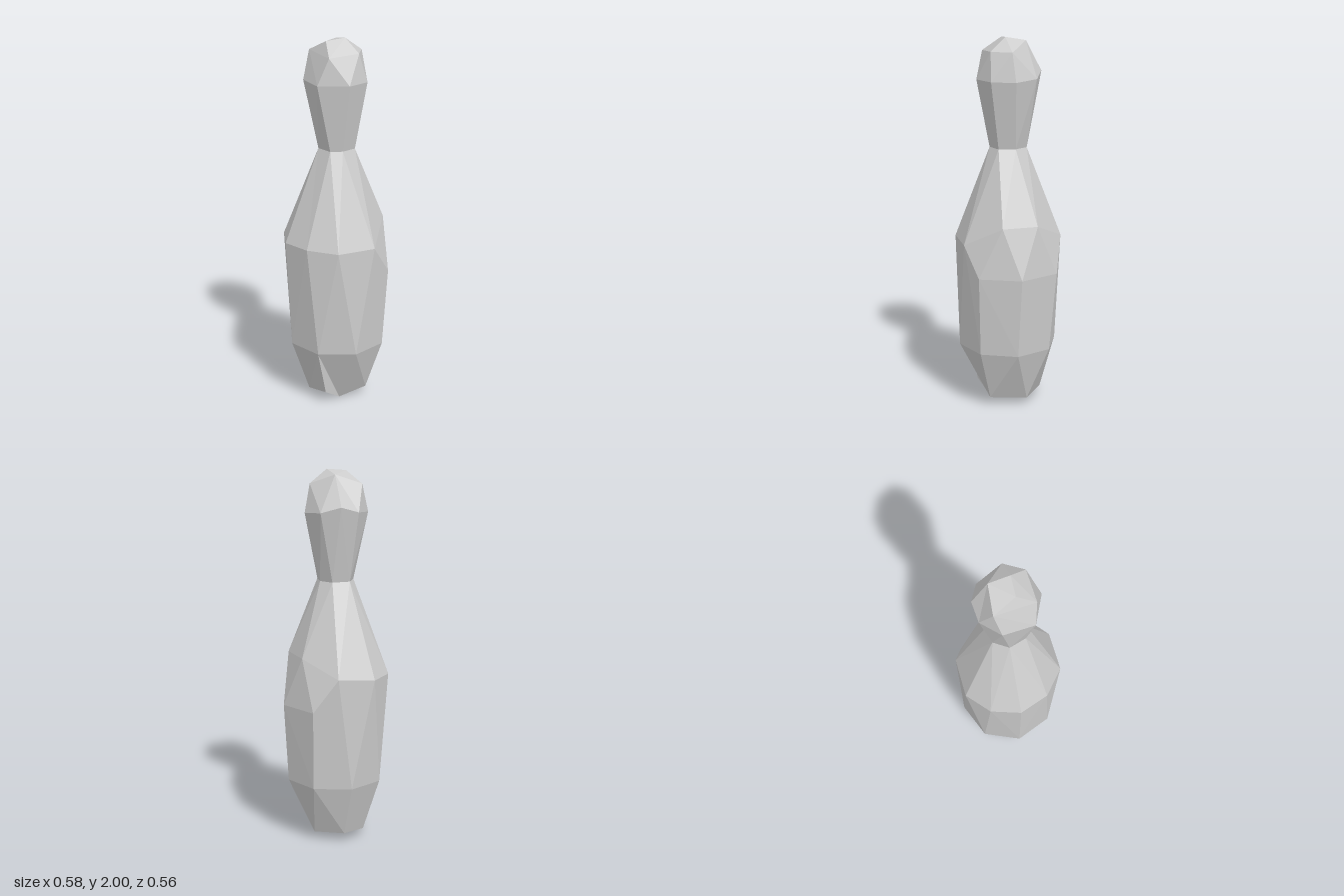
import * as THREE from 'three';

const pin = new THREE.MeshStandardMaterial({ color: 0xcccccc, flatShading: true });
pin.name = 'pinGrey';

const TAU = Math.PI * 2;
const angle = p => Math.atan2(p[2], p[0]);

// Rotates a ring to start nearest a given angle, then lists its angles rising through one full turn
function unwrap(ring, start) {
  const off = p => Math.atan2(Math.sin(angle(p) - start), Math.cos(angle(p) - start));
  let s = 0;
  ring.forEach((p, i) => { if (Math.abs(off(p)) < Math.abs(off(ring[s]))) s = i; });
  const pts = ring.map((_, i) => ring[(s + i) % ring.length]);
  const angs = [start + off(pts[0])];
  for (let i = 1; i < pts.length; i++) {
    let a = angle(pts[i]);
    while (a < angs[i - 1] - 1e-9) a += TAU;
    angs.push(a);
  }
  pts.push(pts[0]);
  angs.push(angs[0] + TAU);
  return { pts, angs };
}

// Stitches two rings with any number of corners; corners they share close the gap
function stitch(out, lower, upper) {
  const a = unwrap(lower, angle(upper[0])), b = unwrap(upper, angle(upper[0]));
  const same = (p, q) => p.every((v, i) => v === q[i]);
  const tri = (p, q, r) => { if (!same(p, q) && !same(q, r) && !same(p, r)) out.push(...p, ...q, ...r); };
  let i = 0, j = 0;
  while (i < lower.length || j < upper.length) {
    const ma = i < lower.length ? a.angs[i] + a.angs[i + 1] : Infinity;
    const mb = j < upper.length ? b.angs[j] + b.angs[j + 1] : Infinity;
    if (ma <= mb + 1e-9) { tri(a.pts[i], b.pts[j], a.pts[i + 1]); i++; }
    else { tri(a.pts[i], b.pts[j], b.pts[j + 1]); j++; }
  }
}

function cap(out, ring, up) {
  for (let k = 1; k < ring.length - 1; k++) {
    const [p, q] = up ? [ring[k + 1], ring[k]] : [ring[k], ring[k + 1]];
    out.push(...ring[0], ...p, ...q);
  }
}

function part(name, rings, capBottom, capTop) {
  const out = [];
  for (let k = 0; k < rings.length - 1; k++) stitch(out, rings[k], rings[k + 1]);
  if (capBottom) cap(out, rings[0], false);
  if (capTop) cap(out, rings[rings.length - 1], true);
  const geo = new THREE.BufferGeometry();
  geo.setAttribute('position', new THREE.Float32BufferAttribute(out, 3));
  geo.computeVertexNormals();
  const mesh = new THREE.Mesh(geo, pin);
  mesh.name = name;
  return mesh;
}

export function createModel() {
  // Uneven foot, starting at its lowest corner
  const foot = [[-0.01, 0, 0.1], [-0.1, 0.07, 0.165], [-0.165, 0.04, 0.03], [-0.14, 0.04, -0.1],
    [-0.02, 0.05, -0.18], [0.13, 0.04, -0.1], [0.14, 0.05, 0.1]];
  // Regular octagon above the foot
  const hip = [];
  for (let i = 0; i < 8; i++) {
    const t = (-10 + 45 * i) * Math.PI / 180;
    hip.push([0.266 * Math.cos(t), 0.33, 0.266 * Math.sin(t)]);
  }
  // Widest ring, shared round most of the body and split in height on the left side
  const girth = [[0.15, 0.92, 0.236], [-0.055, 0.92, 0.28], [-0.205, 0.925, 0.195], [-0.29, 0.92, 0.048],
    [-0.27, 0.92, -0.115], [-0.17, 0.92, -0.243], [0.03, 0.94, -0.284]];
  const bellyLow = [...girth, [0.16, 0.76, -0.255], [0.288, 0.76, -0.065], [0.245, 0.76, 0.16]];
  const bellyHigh = [...girth, [0.2, 1.03, -0.15], [0.245, 1.03, 0.035]];
  // Narrow neck
  const neck = [[0.085, 1.42, 0.05], [0.01, 1.42, 0.095], [-0.055, 1.42, 0.085], [-0.1, 1.42, 0],
    [-0.065, 1.42, -0.085], [0.03, 1.42, -0.1], [0.085, 1.42, -0.04]];
  // Faceted head
  const headWide = [[0.14, 1.78, 0.09], [0.03, 1.78, 0.163], [-0.13, 1.78, 0.122], [-0.17, 1.78, -0.04],
    [-0.1, 1.79, -0.148], [-0.003, 1.82, -0.177], [0.1, 1.79, -0.148], [0.165, 1.78, -0.038]];
  const headHigh = [[0.095, 1.93, 0.09], [-0.07, 1.92, 0.13], [-0.13, 1.93, -0.08],
    [0.015, 1.98, -0.095], [0.135, 1.93, -0.02]];
  const crown = [[0.04, 2, 0.013], [-0.065, 1.99, 0.03], [0.015, 1.98, -0.095]];

  const group = new THREE.Group();
  group.name = 'bowlingPin';
  group.add(
    part('base', [foot, hip], true, false),
    part('belly', [hip, bellyLow, bellyHigh], false, false),
    part('shoulder', [bellyHigh, neck], false, false),
    part('neck', [neck, headWide], false, false),
    part('head', [headWide, headHigh, crown], false, true),
  );
  return group;
}
